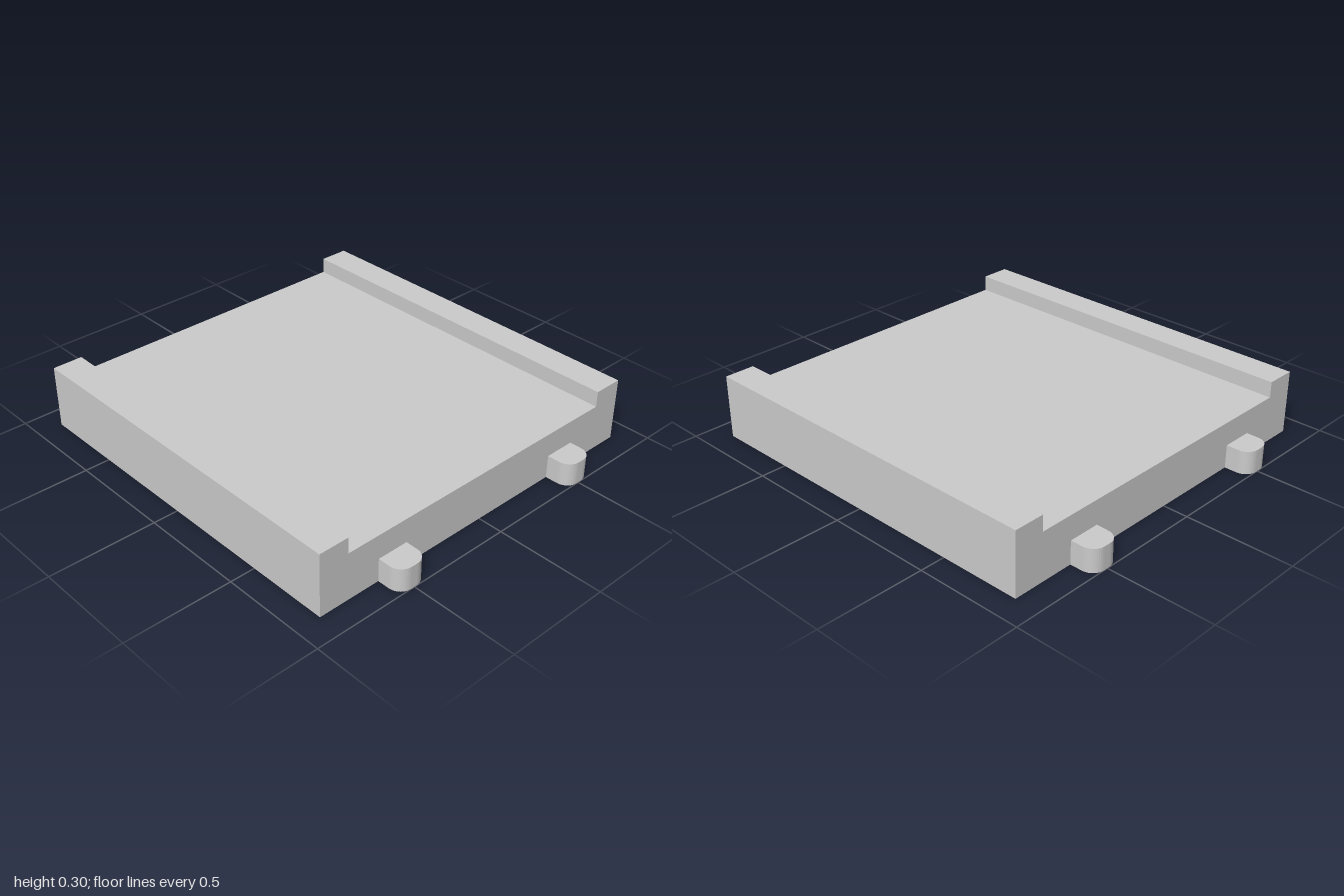
import * as THREE from 'three';

const HALF = 0.882;       // half width and half depth of the tray
const RIM_TOP = 0.3;
const FLOOR_TOP = 0.225;
const RIM_INNER = 0.738;

// Tray cross-section: a slab with a raised rim along each side
function trayGeometry() {
  const profile = new THREE.Shape([
    [-HALF, 0], [HALF, 0], [HALF, RIM_TOP], [RIM_INNER, RIM_TOP],
    [RIM_INNER, FLOOR_TOP], [-RIM_INNER, FLOOR_TOP], [-RIM_INNER, RIM_TOP], [-HALF, RIM_TOP],
  ].map(([x, y]) => new THREE.Vector2(x, y)));
  return new THREE.ExtrudeGeometry(profile, { depth: 2 * HALF, bevelEnabled: false })
    .translate(0, 0, -HALF);
}

// Tab outline: straight sides and two rounded outer corners, extruded upward
function tabGeometry() {
  const w = 0.075, r = 0.06, end = 1;
  const outline = new THREE.Shape();
  outline.moveTo(-w, HALF);
  outline.lineTo(w, HALF);
  outline.absarc(w - r, end - r, r, 0, Math.PI / 2, false);
  outline.absarc(-w + r, end - r, r, Math.PI / 2, Math.PI, false);
  outline.closePath();
  return new THREE.ExtrudeGeometry(outline, { depth: 0.11, bevelEnabled: false, curveSegments: 5 })
    .rotateX(-Math.PI / 2);
}

export function createModel() {
  const model = new THREE.Group();
  model.name = 'railedTray';
  const material = new THREE.MeshStandardMaterial({ color: 0xcccccc, flatShading: true });

  const tray = new THREE.Mesh(trayGeometry(), material);
  tray.name = 'tray';
  model.add(tray);

  // Two locating tabs on the back and two on the front
  const tab = tabGeometry();
  for (const end of ['back', 'front']) {
    for (const side of [-1, 1]) {
      const mesh = new THREE.Mesh(tab, material);
      mesh.name = `${end}${side > 0 ? 'Left' : 'Right'}Tab`;
      mesh.position.x = side * 0.504;
      if (end === 'front') mesh.rotation.y = Math.PI;
      model.add(mesh);
    }
  }
  return model;
}
